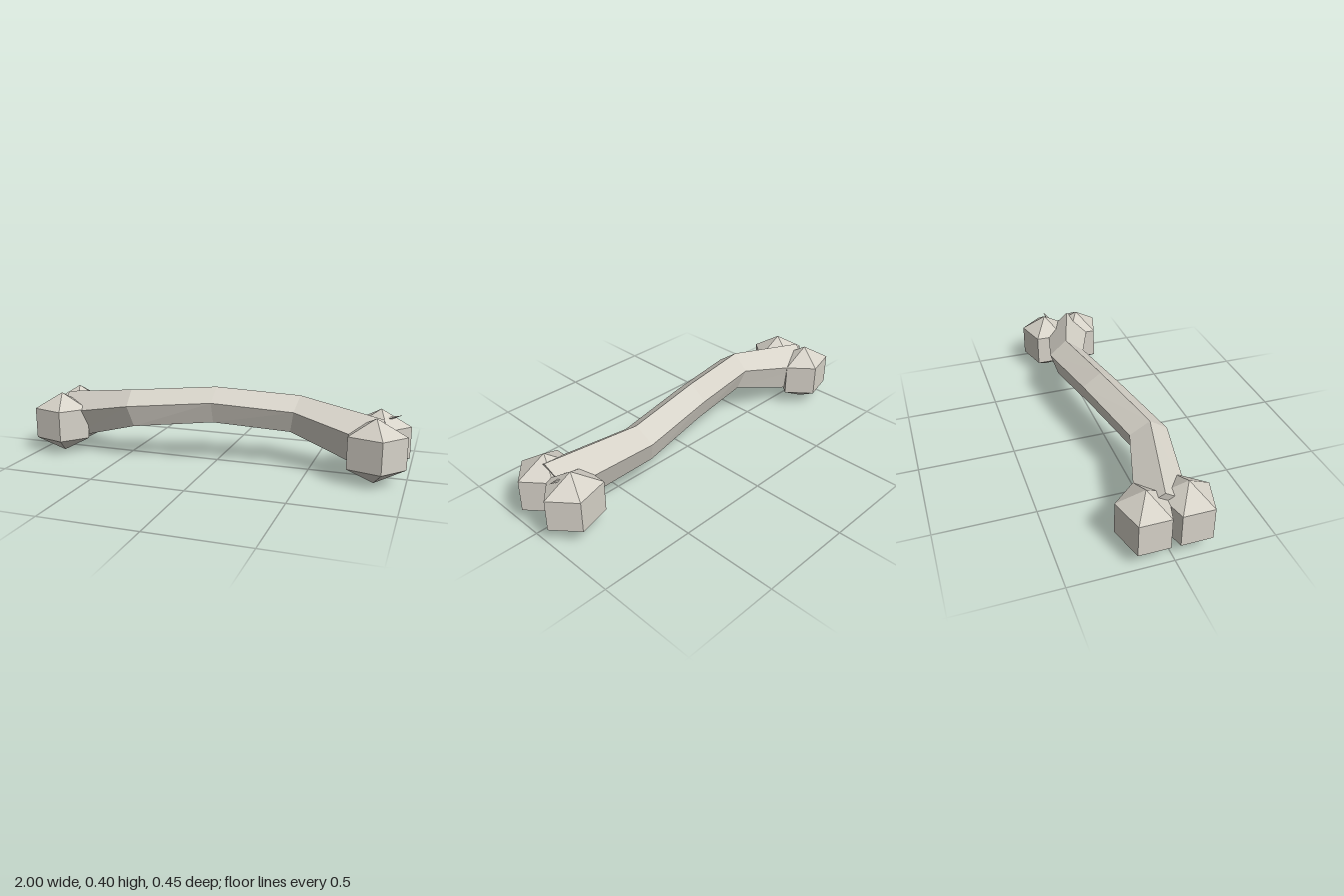
import * as THREE from 'three';

export function createModel() {
  const group = new THREE.Group();
  group.name = 'bone';
  const bone = new THREE.MeshStandardMaterial({ color: 0xd6d2c8, flatShading: true });
  bone.name = 'bone ivory';

  const add = (name, geometry) => {
    const mesh = new THREE.Mesh(geometry, bone);
    mesh.name = name;
    group.add(mesh);
    return mesh;
  };

  // Shaft: five pentagonal sections as [x, y, z, radius, lean]
  const sections = [
    [-0.87, 0.175, -0.02, 0.135, -0.22],
    [-0.44, 0.27, 0.08, 0.102, -0.2],
    [-0.01, 0.3, -0.018, 0.1, 0],
    [0.41, 0.27, -0.08, 0.102, 0.2],
    [0.85, 0.178, 0.052, 0.135, 0.22],
  ];
  const sides = 5;
  const positions = [];
  const index = [];
  for (const [x, y, z, r, lean] of sections) {
    for (let j = 0; j < sides; j++) {
      const a = (j / sides) * Math.PI * 2;
      const dy = r * Math.cos(a);
      positions.push(x + lean * dy, y + dy, z + r * Math.sin(a));
    }
  }
  const last = sections.length - 1;
  for (let i = 0; i < last; i++) {
    for (let j = 0; j < sides; j++) {
      const k = (j + 1) % sides;
      const a = i * sides + j, b = i * sides + k;
      index.push(a, b, a + sides, b, b + sides, a + sides);
    }
  }
  // Flat ends
  for (let j = 1; j < sides - 1; j++) {
    const e = last * sides;
    index.push(0, j + 1, j, e, e + j, e + j + 1);
  }
  const shaft = new THREE.BufferGeometry();
  shaft.setAttribute('position', new THREE.Float32BufferAttribute(positions, 3));
  shaft.setIndex(index);
  const faceted = shaft.toNonIndexed();
  faceted.computeVertexNormals();
  add('shaft', faceted);

  // Knuckles: two faceted knobs at each end, all pointing the same way
  const knob = new THREE.SphereGeometry(1, 5, 3, Math.PI);
  for (const [side, x] of [['right', -0.875], ['left', 0.845]]) {
    for (const [face, z] of [['Front', 0.1], ['Back', -0.1]]) {
      const knuckle = add(`${side}${face}Knuckle`, knob);
      knuckle.position.set(x, 0.165, z);
      knuckle.scale.set(0.179, 0.165, 0.152);
    }
  }

  // Small splinter poking out of the left back knuckle
  const from = new THREE.Vector3(0.84, 0.28, -0.06);
  const tip = new THREE.Vector3(0.95, 0.307, -0.083);
  const along = tip.clone().sub(from);
  const splinter = add('splinter', new THREE.ConeGeometry(0.018, along.length(), 3));
  splinter.position.copy(from).add(tip).multiplyScalar(0.5);
  splinter.quaternion.setFromUnitVectors(new THREE.Vector3(0, 1, 0), along.normalize());

  return group;
}
